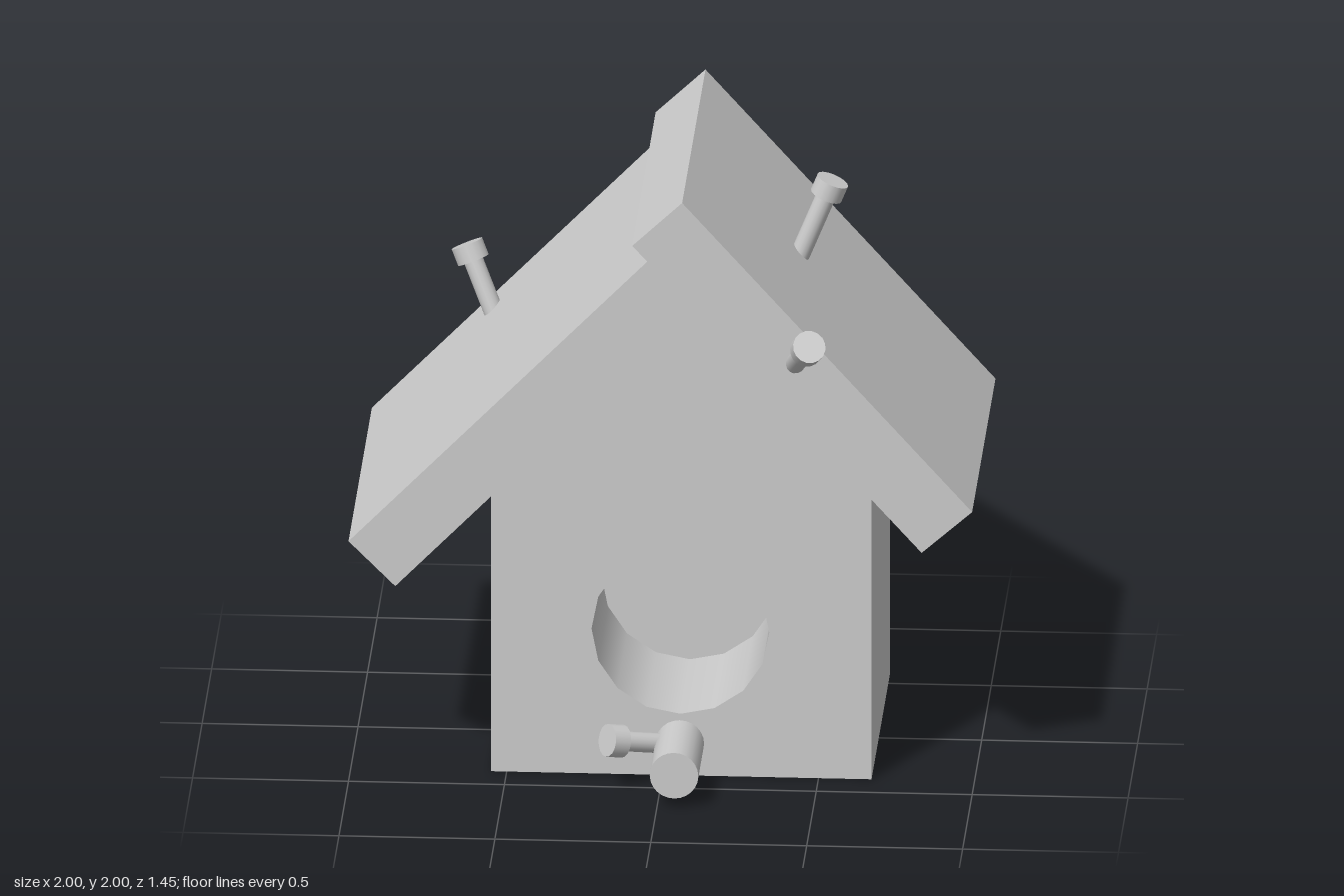
import * as THREE from 'three';

const grey = new THREE.MeshStandardMaterial({ color: 0xcccccc });
const greyInside = new THREE.MeshStandardMaterial({ color: 0xcccccc, side: THREE.BackSide });

const toPoints = (list) => list.map(([x, y]) => new THREE.Vector2(x, y));

function addMesh(parent, name, geometry, material = grey) {
  const mesh = new THREE.Mesh(geometry, material);
  mesh.name = name;
  parent.add(mesh);
  return mesh;
}

// Flat side walls of a prism whose outline runs counter-clockwise in x, y
function wallStrip(outline, zBack, zFront) {
  const pos = [];
  outline.forEach(([ax, ay], i) => {
    const [bx, by] = outline[(i + 1) % outline.length];
    pos.push(ax, ay, zFront, ax, ay, zBack, bx, by, zBack);
    pos.push(ax, ay, zFront, bx, by, zBack, bx, by, zFront);
  });
  const g = new THREE.BufferGeometry();
  g.setAttribute('position', new THREE.Float32BufferAttribute(pos, 3));
  g.computeVertexNormals();
  return g;
}

// Nail with a flat head: `top` is the centre of the head, `dir` points to the tip
function makeNail(name, top, dir) {
  const headHeight = 0.057, length = 0.4;
  const nail = new THREE.Group();
  nail.name = name;
  const head = new THREE.CylinderGeometry(0.053, 0.053, headHeight, 16);
  head.translate(0, -headHeight / 2, 0);
  addMesh(nail, 'nailHead', head);
  const shaft = new THREE.CylinderGeometry(0.032, 0.032, length - headHeight, 16);
  shaft.translate(0, -(length + headHeight) / 2, 0);
  addMesh(nail, 'nailShaft', shaft);
  nail.position.set(...top);
  nail.quaternion.setFromUnitVectors(
    new THREE.Vector3(0, -1, 0), new THREE.Vector3(...dir).normalize());
  return nail;
}

export function createModel() {
  const model = new THREE.Group();
  model.name = 'birdhouse';

  // House body: gabled box with a round blind hole in the front
  const outline = [[-0.55, 0], [0.67, 0], [0.67, 1.008], [0.1, 1.64], [-0.55, 0.976]];
  const front = 0.38, back = -0.6;
  const hole = { x: 0.057, y: 0.495, r: 0.285, depth: 0.5, sides: 16 };
  const body = new THREE.Group();
  body.name = 'houseBody';
  model.add(body);

  const holePoints = [];
  for (let i = 0; i < hole.sides; i++) {
    const a = -i / hole.sides * Math.PI * 2;
    holePoints.push([hole.x + hole.r * Math.cos(a), hole.y + hole.r * Math.sin(a)]);
  }
  const frontShape = new THREE.Shape(toPoints(outline));
  frontShape.holes.push(new THREE.Path(toPoints(holePoints)));
  addMesh(body, 'frontWall', new THREE.ShapeGeometry(frontShape)).position.z = front;

  const mirrored = toPoints(outline.map(([x, y]) => [-x, y]));
  const backWall = addMesh(body, 'backWall', new THREE.ShapeGeometry(new THREE.Shape(mirrored)));
  backWall.rotation.y = Math.PI;
  backWall.position.z = back;
  addMesh(body, 'sideWalls', wallStrip(outline, back, front));

  const tunnel = new THREE.CylinderGeometry(hole.r, hole.r, hole.depth, hole.sides, 1, true);
  tunnel.rotateX(Math.PI / 2);
  addMesh(body, 'entranceHole', tunnel, greyInside)
    .position.set(hole.x, hole.y, front - hole.depth / 2);
  addMesh(body, 'entranceHoleEnd', new THREE.CircleGeometry(hole.r, hole.sides))
    .position.set(hole.x, hole.y, front - hole.depth);

  // Roof: the left-hand board butts against the underside of the other one
  const boards = {
    rightRoofBoard: [[-1, 0.82], [-0.85, 0.67], [0.1, 1.64], [-0.042, 1.797]],
    leftRoofBoard: [[-0.09, 1.85], [0.838, 0.822], [1, 0.965], [0.07, 2]],
  };
  for (const [name, corners] of Object.entries(boards)) {
    const board = new THREE.ExtrudeGeometry(new THREE.Shape(toPoints(corners)),
      { depth: 1.225, bevelEnabled: false });
    addMesh(model, name, board).position.z = -0.725;
  }

  // Perch under the entrance
  const perch = new THREE.CylinderGeometry(0.078, 0.078, 0.3, 24);
  perch.rotateX(Math.PI / 2);
  addMesh(model, 'perch', perch).position.set(0.055, 0.11, 0.53);

  // Crooked nails
  model.add(
    makeNail('leftRoofNail', [0.516, 1.861, -0.11], [-0.38, -0.925, 0]),
    makeNail('rightRoofNail', [-0.69, 1.42, -0.64], [0.42, -1, 0.24]),
    makeNail('frontRoofNail', [0.49, 1.592, 0.7], [-0.27, -0.64, -1]),
    makeNail('perchNail', [-0.168, 0.17, 0.53], [1, -0.28, -0.65]),
  );
  return model;
}
